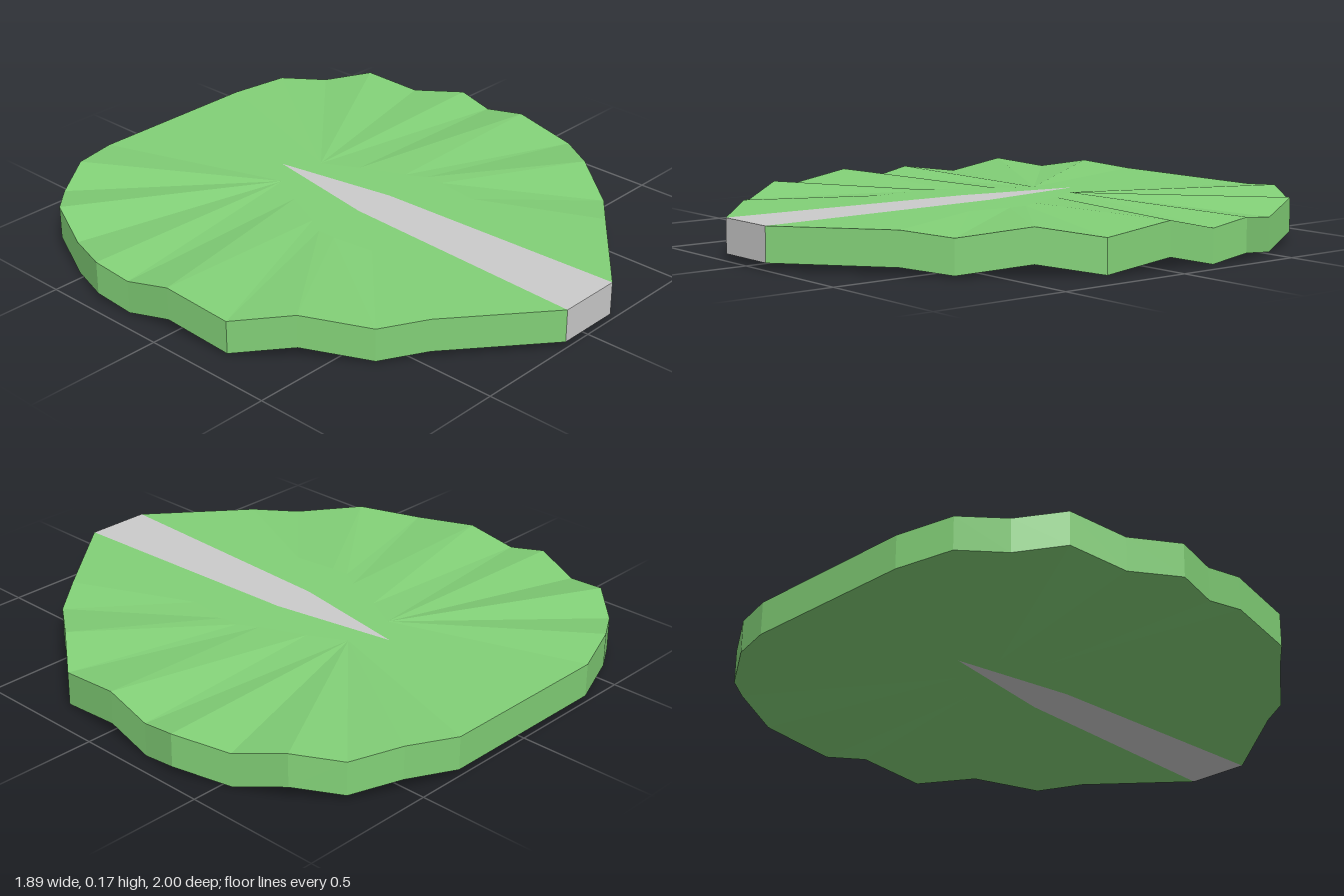
import * as THREE from 'three';

const THICK = 0.12, FLAT = 0.15;

// Fold lines of the +x half, front to back: rim x, z, height, then inner end x, z
const FOLDS = [
  [0.12, 1.0, 0.15, 0.12, 1.0],
  [0.46, 0.72, 0.15, 0.25, 0.5],
  [0.60, 0.61, 0.13, 0.26, 0.28],
  [0.75, 0.41, 0.165, 0.28, 0.12],
  [0.89, 0.23, 0.13, 0.28, 0.05],
  [0.915, -0.02, 0.165, 0.24, -0.02],
  [0.93, -0.2, 0.125, 0.17, -0.18],
  [0.945, -0.34, 0.15, 0.1, -0.31],
  [0.87, -0.53, 0.125, 0.1, -0.31],
  [0.80, -0.71, 0.17, 0.1, -0.31],
  [0.675, -0.84, 0.14, 0.1, -0.31],
  [0.52, -0.935, 0.17, 0.1, -0.31],
  [0.33, -1.0, 0.15, 0.1, -0.31],
  [0, -1.0, 0.15, 0, -0.41],
];

// Half width of the tapering midrib at a given z
const ribWidth = z => z > 0.05 ? 0.08 + 0.04 * (z - 0.05) / 0.95 : 0.08 * (z + 0.41) / 0.46;

const rim = FOLDS.map(([x, z, y]) => [x, y, z]);
const inner = FOLDS.map(f => [f[3], FLAT, f[4]]);
const spine = FOLDS.map(f => [ribWidth(f[4]), FLAT, f[4]]);
const centre = spine.map(p => [0, p[1], p[2]]);
const lower = p => [p[0], p[1] - THICK, p[2]];

// Collects triangles on both mirrored halves, skipping empty ones
class Faces {
  constructor() { this.pos = []; }
  tri(a, b, c) {
    const [A, B, C] = [a, b, c].map(p => new THREE.Vector3(...p));
    if (B.sub(A).cross(C.sub(A)).length() < 1e-7) return;
    const m = p => [-p[0], p[1], p[2]];
    this.pos.push(...a, ...b, ...c, ...m(a), ...m(c), ...m(b));
  }
  quad(a, b, c, d) { this.tri(a, b, c); this.tri(a, c, d); }
  // Top and bottom skins between two rows of points
  slab(outer, inside) {
    for (let i = 0; i < outer.length - 1; i++) {
      const q = [outer[i], outer[i + 1], inside[i + 1], inside[i]];
      this.quad(...q);
      const [a, b, c, d] = q.map(lower);
      this.tri(a, c, b);
      this.tri(a, d, c);
    }
  }
  // Vertical edge wall along a row of points
  wall(row) {
    for (let i = 0; i < row.length - 1; i++)
      this.quad(lower(row[i]), lower(row[i + 1]), row[i + 1], row[i]);
  }
  mesh(name, color) {
    const g = new THREE.BufferGeometry();
    g.setAttribute('position', new THREE.Float32BufferAttribute(this.pos, 3));
    g.computeVertexNormals();
    const mesh = new THREE.Mesh(g, new THREE.MeshStandardMaterial({ color, flatShading: true }));
    mesh.name = name;
    return mesh;
  }
}

export function createModel() {
  const group = new THREE.Group();
  group.name = 'leaf';

  // Pleated green blade with its rim
  const blade = new Faces();
  blade.slab(rim, inner);
  blade.slab(inner, spine);
  blade.wall(rim);
  group.add(blade.mesh('blade', 0x82d077));

  // Grey midrib, flush with the blade, with its cut end at the front
  const rib = new Faces();
  rib.slab(spine, centre);
  rib.wall([centre[0], spine[0]]);
  group.add(rib.mesh('midrib', 0xcccccc));

  return group;
}
